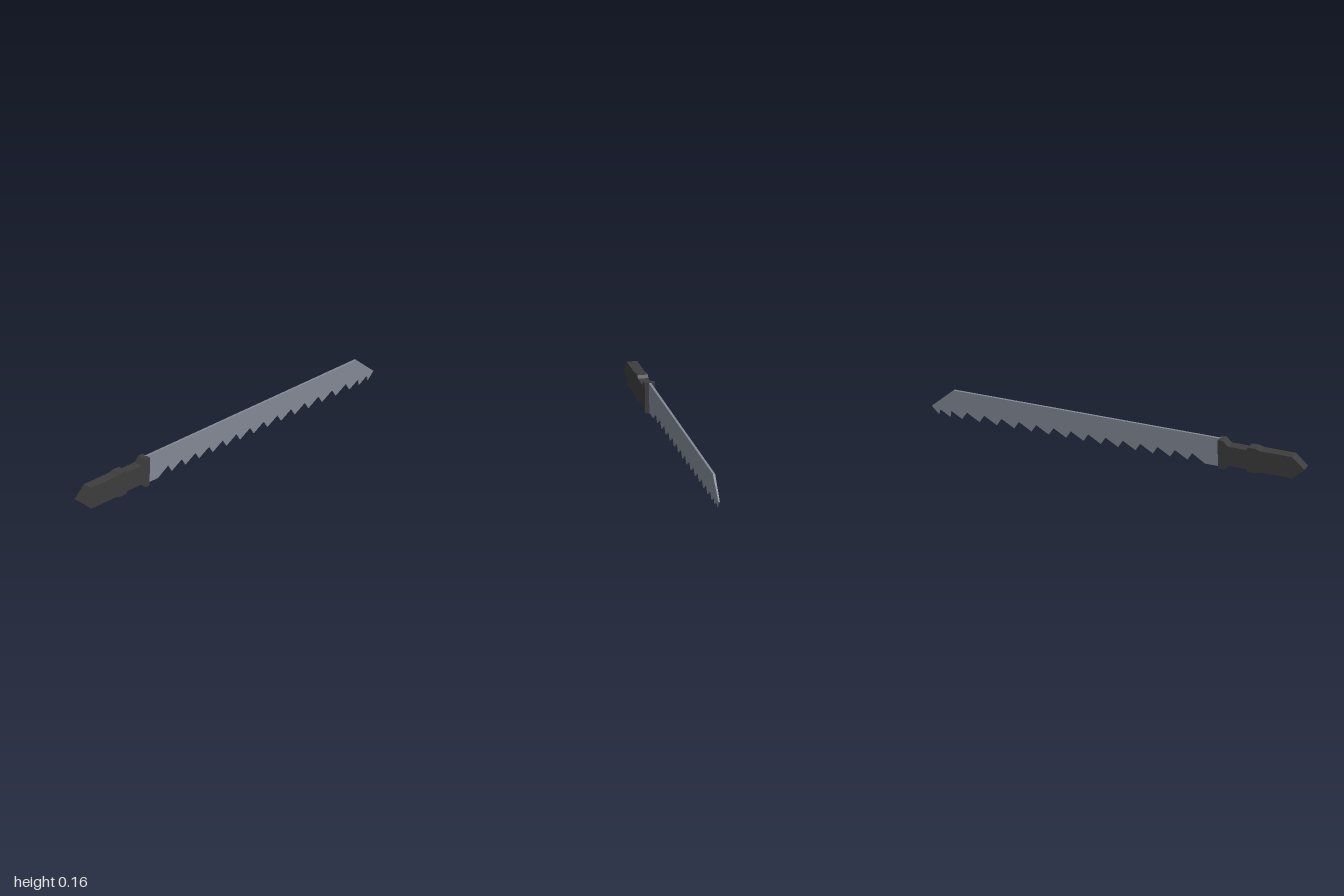
import * as THREE from 'three';

const HEIGHT = 0.16;

// Extrudes an outline along z, with a half thickness that runs from the lower edge to the upper edge
function taperedPlate(name, points, lowHalf, highHalf, material) {
  const shape = new THREE.Shape(points.map(([x, y]) => new THREE.Vector2(x, y)));
  const geometry = new THREE.ExtrudeGeometry(shape, { depth: 2, bevelEnabled: false });
  geometry.translate(0, 0, -1);
  const p = geometry.attributes.position;
  for (let i = 0; i < p.count; i++) {
    p.setZ(i, p.getZ(i) * THREE.MathUtils.lerp(lowHalf, highHalf, p.getY(i) / HEIGHT));
  }
  geometry.computeVertexNormals();
  const mesh = new THREE.Mesh(geometry, material);
  mesh.name = name;
  return mesh;
}

export function createModel() {
  const steel = new THREE.MeshStandardMaterial({ color: 0x838995 });
  steel.name = 'blade steel';
  const dark = new THREE.MeshStandardMaterial({ color: 0x3d3d3d });
  dark.name = 'dark shank';

  // Shank: pointed tang, locking lugs and flared collar
  const shank = taperedPlate('shank', [
    [-1, 0.08], [-0.935, 0.02], [-0.765, 0.02], [-0.74, 0.012], [-0.695, 0.012],
    [-0.688, 0.026], [-0.595, 0.026], [-0.565, 0], [-0.537, 0],
    [-0.537, 0.16], [-0.565, 0.16], [-0.592, 0.133], [-0.688, 0.133],
    [-0.698, 0.148], [-0.74, 0.148], [-0.765, 0.14], [-0.935, 0.14],
  ], 0.024, 0.027, dark);

  // Blade: flat body with raked teeth, the last ones packed closer together
  const outline = [[-0.545, 0.16], [-0.545, 0.003], [-0.46, 0.003]];
  for (let i = 0; i < 14; i++) {
    const tip = -0.366 + i * 0.0926;
    outline.push([tip - 0.025, 0.049], [tip, 0.008]);
  }
  outline.push([0.898, 0.044], [0.902, 0.008], [0.956, 0.042], [0.962, 0.012]);
  outline.push([1, 0.052], [0.882, 0.16]);
  const blade = taperedPlate('blade', outline, 0.0025, 0.006, steel);

  const group = new THREE.Group();
  group.name = 'jigsawBlade';
  group.add(shank, blade);
  return group;
}
